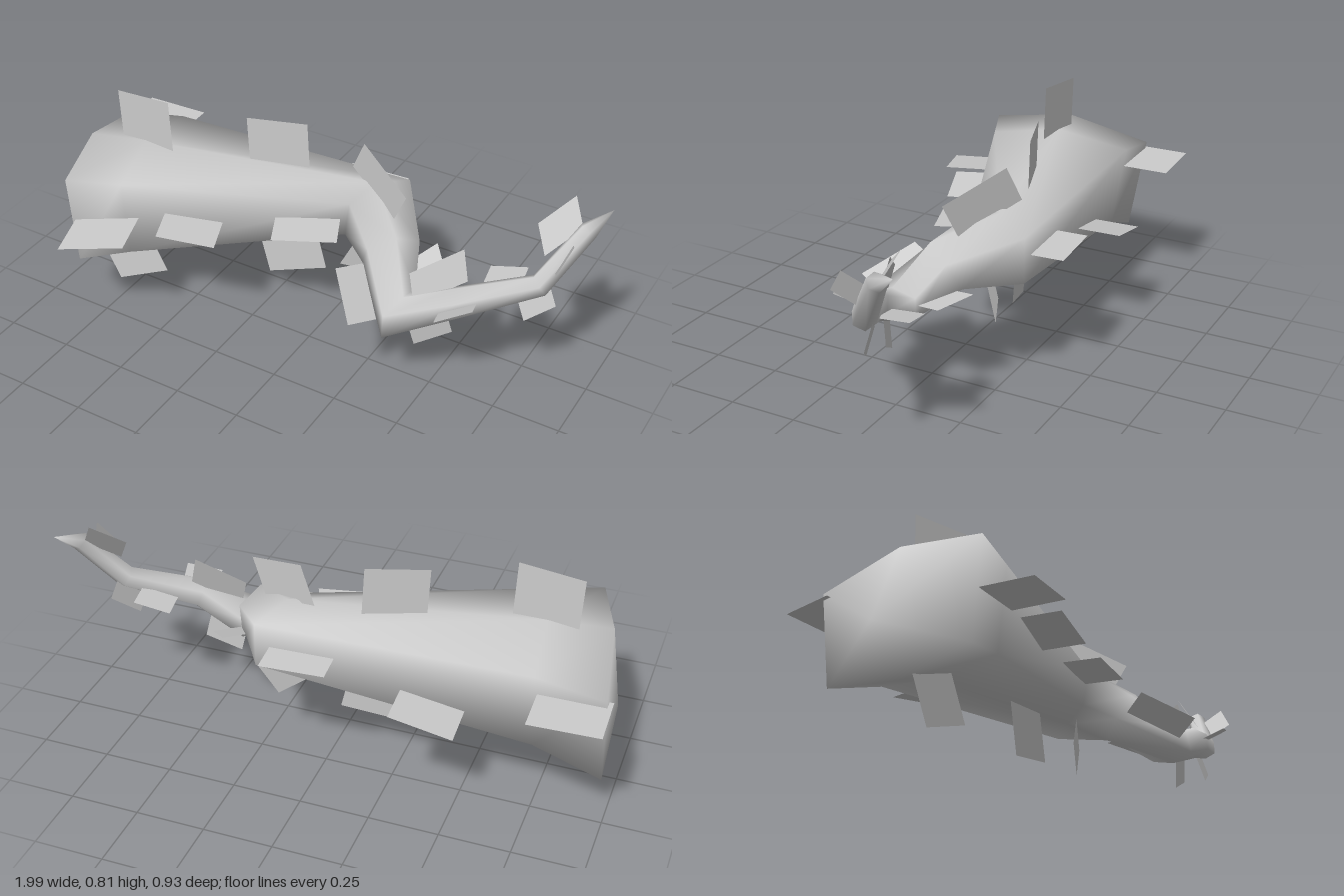
import * as THREE from 'three';

const V = (p) => new THREE.Vector3(...p);

// Six-sided ring around a centre, facing along a direction: front top, top, back top, back bottom, bottom, front bottom
function ring(centre, radius, dir) {
  const t = V(dir).normalize();
  const back = new THREE.Vector3(0, 1, 0).cross(t).normalize();
  const up = t.clone().cross(back);
  return [150, 90, 30, -30, -90, -150].map((deg) => {
    const a = THREE.MathUtils.degToRad(deg);
    return V(centre).addScaledVector(back, radius * Math.cos(a)).addScaledVector(up, radius * Math.sin(a));
  });
}

// Closed skin over a row of rings, with a point at each end
function skin(rings, start, end) {
  const n = rings[0].length;
  const points = [...rings.flat(), start, end];
  const s = points.length - 2, e = points.length - 1, last = (rings.length - 1) * n;
  const index = [];
  for (let i = 0; i < n; i++) {
    const j = (i + 1) % n;
    for (let k = 0; k < last; k += n) {
      index.push(k + i, k + n + i, k + n + j, k + i, k + n + j, k + j);
    }
    index.push(s, i, j, e, last + j, last + i);
  }
  const g = new THREE.BufferGeometry().setFromPoints(points);
  g.setIndex(index);
  g.computeVertexNormals();
  return g;
}

// Flat four-cornered leaf from two outer corners and one root corner
function leaf([a, b, c]) {
  const d = V(a).add(V(c)).sub(V(b));
  const g = new THREE.BufferGeometry().setFromPoints([V(a), V(b), V(c), d]);
  g.setIndex([0, 2, 1, 0, 3, 2]);
  g.computeVertexNormals();
  return g;
}

// Leaves in four rows along the limb: outer left, outer right, root right
const upperLeaves = [
  [[-0.83, 0.8, -0.03], [-0.6, 0.82, -0.02], [-0.59, 0.6, -0.02]],
  [[-0.33, 0.79, -0.12], [-0.12, 0.79, -0.19], [-0.11, 0.6, -0.19]],
  [[0.1, 0.77, -0.21], [0.33, 0.69, -0.09], [0.27, 0.56, -0.12]],
  [[0.42, 0.49, 0.04], [0.58, 0.6, -0.04], [0.61, 0.49, -0.02]],
  [[0.78, 0.7, -0.17], [0.87, 0.79, -0.26], [0.92, 0.7, -0.22]],
];
const frontLeaves = [
  [[-0.77, 0.41, 0.46], [-0.54, 0.45, 0.38], [-0.6, 0.45, 0.2]],
  [[-0.46, 0.475, 0.29], [-0.26, 0.455, 0.22], [-0.32, 0.455, 0.07]],
  [[-0.08, 0.5, 0.13], [0.14, 0.52, 0.05], [0.08, 0.52, -0.08]],
  [[0.3, 0.36, 0.25], [0.35, 0.33, 0.14], [0.22, 0.43, 0.0]],
  [[0.58, 0.435, 0.175], [0.69, 0.48, 0.11], [0.67, 0.455, 0.03]],
  [[0.91, 0.62, -0.03], [0.94, 0.71, -0.09], [0.91, 0.66, -0.17]],
];
const lowerLeaves = [
  [[-0.82, 0.005, 0.065], [-0.62, 0.09, 0.025], [-0.7, 0.26, 0.03]],
  [[-0.24, 0.145, -0.115], [-0.03, 0.2, -0.175], [-0.08, 0.42, -0.165]],
  [[0.06, 0.29, -0.12], [0.19, 0.23, -0.22], [0.25, 0.36, -0.26]],
  [[0.45, 0.19, 0.04], [0.57, 0.26, -0.01], [0.55, 0.36, 0.01]],
  [[0.8, 0.355, -0.08], [0.89, 0.42, -0.13], [0.85, 0.51, -0.14]],
];
const backLeaves = [
  [[-1, 0.505, -0.45], [-0.755, 0.505, -0.46], [-0.75, 0.505, -0.26]],
  [[-0.52, 0.37, -0.45], [-0.3, 0.42, -0.465], [-0.29, 0.42, -0.29]],
  [[-0.07, 0.505, -0.44], [0.16, 0.505, -0.455], [0.17, 0.505, -0.31]],
  [[0.39, 0.43, -0.24], [0.47, 0.385, -0.15], [0.41, 0.35, -0.04]],
  [[0.62, 0.45, -0.19], [0.75, 0.48, -0.21], [0.77, 0.48, -0.1]],
];

export function createModel() {
  const model = new THREE.Group();
  model.name = 'leafyBranch';
  const grey = new THREE.MeshStandardMaterial({ color: 0xcccccc, side: THREE.DoubleSide });
  grey.name = 'plainGrey';

  // Thick slanted butt, the bend where the trunk ends, and the elbow below it
  const butt = [
    [-0.84, 0.59, 0.3], [-0.93, 0.61, 0.02], [-0.98, 0.53, -0.29],
    [-0.98, 0.17, -0.23], [-0.92, 0.14, 0.02], [-0.84, 0.22, 0.27],
  ].map(V);
  const bend = [
    [0.11, 0.59, -0.09], [0.15, 0.625, -0.21], [0.22, 0.585, -0.34],
    [0.22, 0.42, -0.34], [0.14, 0.42, -0.22], [0.09, 0.445, -0.1],
  ].map(V);
  const elbow = [
    [0.38, 0.36, 0.15], [0.41, 0.395, 0.06], [0.41, 0.375, -0.03],
    [0.41, 0.3, -0.03], [0.4, 0.265, 0.07], [0.385, 0.28, 0.165],
  ].map(V);

  // Trunk ring just past the butt, with its underside and top slightly raised
  const lift = [0, 0.01, 0.035, 0.05, 0.04, 0.01];
  const trunk = butt.map((p, i) => p.clone().lerp(bend[i], 0.2).add(V([0, lift[i], 0])));

  // Limb twisting down to an elbow, then rising to a point
  const rings = [
    butt,
    trunk,
    bend,
    ring([0.285, 0.455, -0.08], 0.11, [0.6, -0.5, 0.6]),
    elbow,
    ring([0.6, 0.425, 0.02], 0.058, [0.43, 0.18, -0.2]),
    ring([0.835, 0.51, -0.1], 0.042, [0.65, 0.55, -0.5]),
    ring([0.94, 0.7, -0.215], 0.034, [0.45, 0.7, -0.5]),
  ];
  const branch = new THREE.Mesh(skin(rings, V([-0.98, 0.35, -0.04]), V([0.99, 0.75, -0.3])), grey);
  branch.name = 'branch';
  model.add(branch);

  const rows = { upperLeaves, frontLeaves, lowerLeaves, backLeaves };
  for (const [name, list] of Object.entries(rows)) {
    const row = new THREE.Group();
    row.name = name;
    list.forEach((corners) => {
      const mesh = new THREE.Mesh(leaf(corners), grey);
      mesh.name = 'leaf';
      row.add(mesh);
    });
    model.add(row);
  }
  return model;
}
